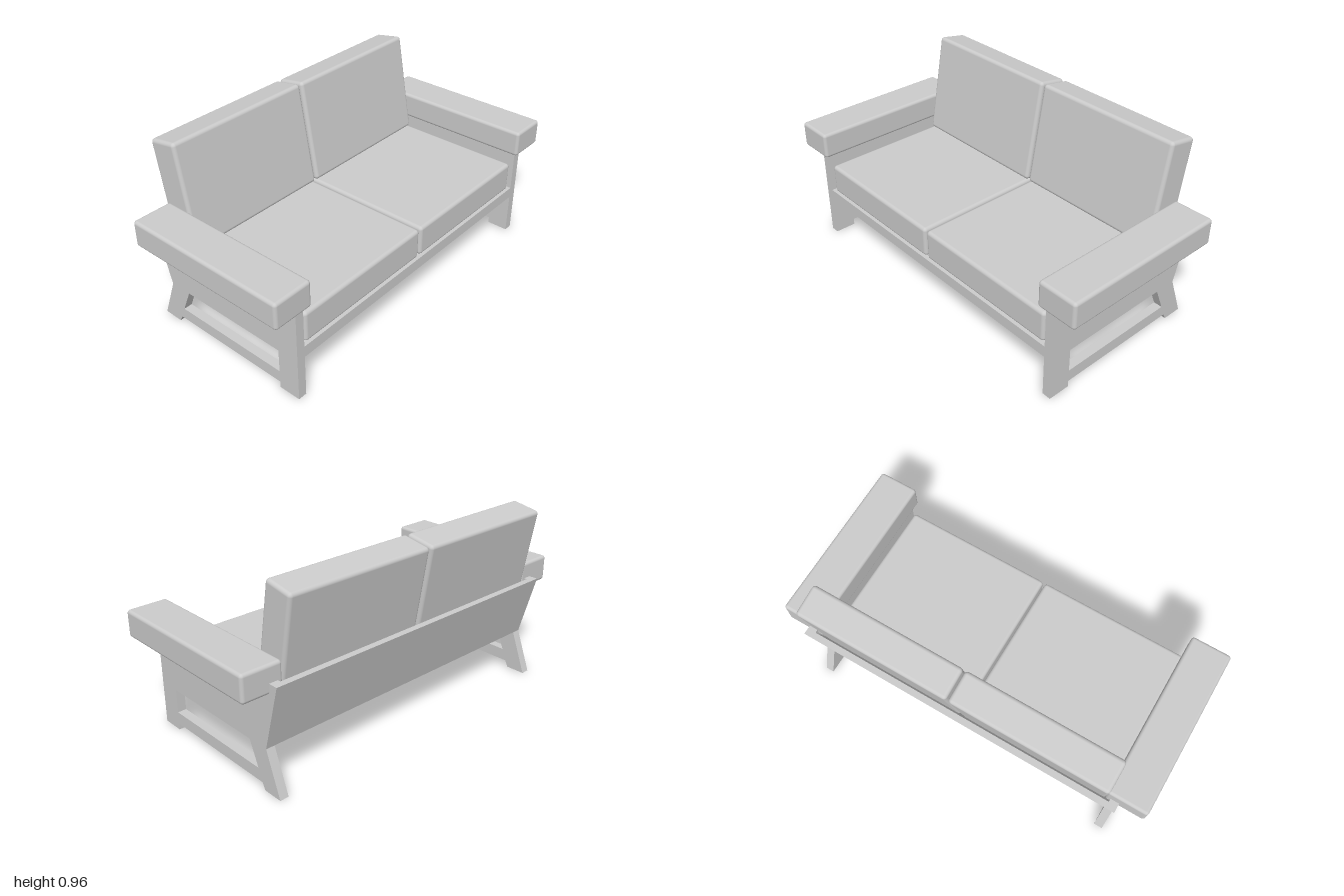
import * as THREE from 'three';
import { RoundedBoxGeometry } from 'three/addons/geometries/RoundedBoxGeometry.js';

const material = new THREE.MeshStandardMaterial({ color: 0xcccccc });
const points = (list) => list.map(([z, y]) => new THREE.Vector2(z, y));

// Extrudes a side-on outline of [z, y] points to a width centred on x
function profile(name, outline, width, x, hole) {
  const shape = new THREE.Shape(points(outline));
  if (hole) shape.holes.push(new THREE.Path(points(hole)));
  const geometry = new THREE.ExtrudeGeometry(shape, { depth: width, bevelEnabled: false });
  geometry.translate(0, 0, -width / 2).rotateY(-Math.PI / 2);
  const mesh = new THREE.Mesh(geometry, material);
  mesh.name = name;
  mesh.position.x = x;
  return mesh;
}

function padded(name, size, position, radius) {
  const mesh = new THREE.Mesh(new RoundedBoxGeometry(...size, 4, radius), material);
  mesh.name = name;
  mesh.position.set(...position);
  return mesh;
}

export function createModel() {
  const sofa = new THREE.Group();
  sofa.name = 'sofa';

  // Seat platform and sloping back board, fitted between the side frames
  sofa.add(
    profile('seatBase', [[0.45, 0.217], [0.45, 0.275], [-0.375, 0.275], [-0.362, 0.217]], 1.64, 0),
    profile('backBoard', [[-0.33, 0.217], [-0.42, 0.545], [-0.453, 0.545], [-0.362, 0.217]], 1.64, 0),
  );

  // Side frame: front leg, splayed rear leg, and stretcher under the opening
  const frame = [
    [0.45, 0], [0.45, 0.545], [-0.453, 0.545], [-0.362, 0.217], [-0.445, 0],
    [-0.342, 0], [-0.325, 0.033], [0.337, 0.033], [0.337, 0],
  ];
  const opening = [[0.337, 0.095], [0.337, 0.217], [-0.247, 0.217], [-0.3, 0.095]];

  for (const [side, s] of [['left', 1], ['right', -1]]) {
    sofa.add(
      profile(`${side}SideFrame`, frame, 0.045, s * 0.8425, opening),
      padded(`${side}Armrest`, [0.208, 0.136, 0.88], [s * 0.896, 0.561, 0.036], 0.016),
      padded(`${side}SeatCushion`, [0.795, 0.16, 0.8], [s * 0.4025, 0.355, 0.04], 0.018),
    );
    // Back cushion leaning on the board
    const back = padded(`${side}BackCushion`, [0.795, 0.53, 0.16], [s * 0.4025, 0.684, -0.351], 0.018);
    back.rotation.x = THREE.MathUtils.degToRad(-10);
    sofa.add(back);
  }
  return sofa;
}
